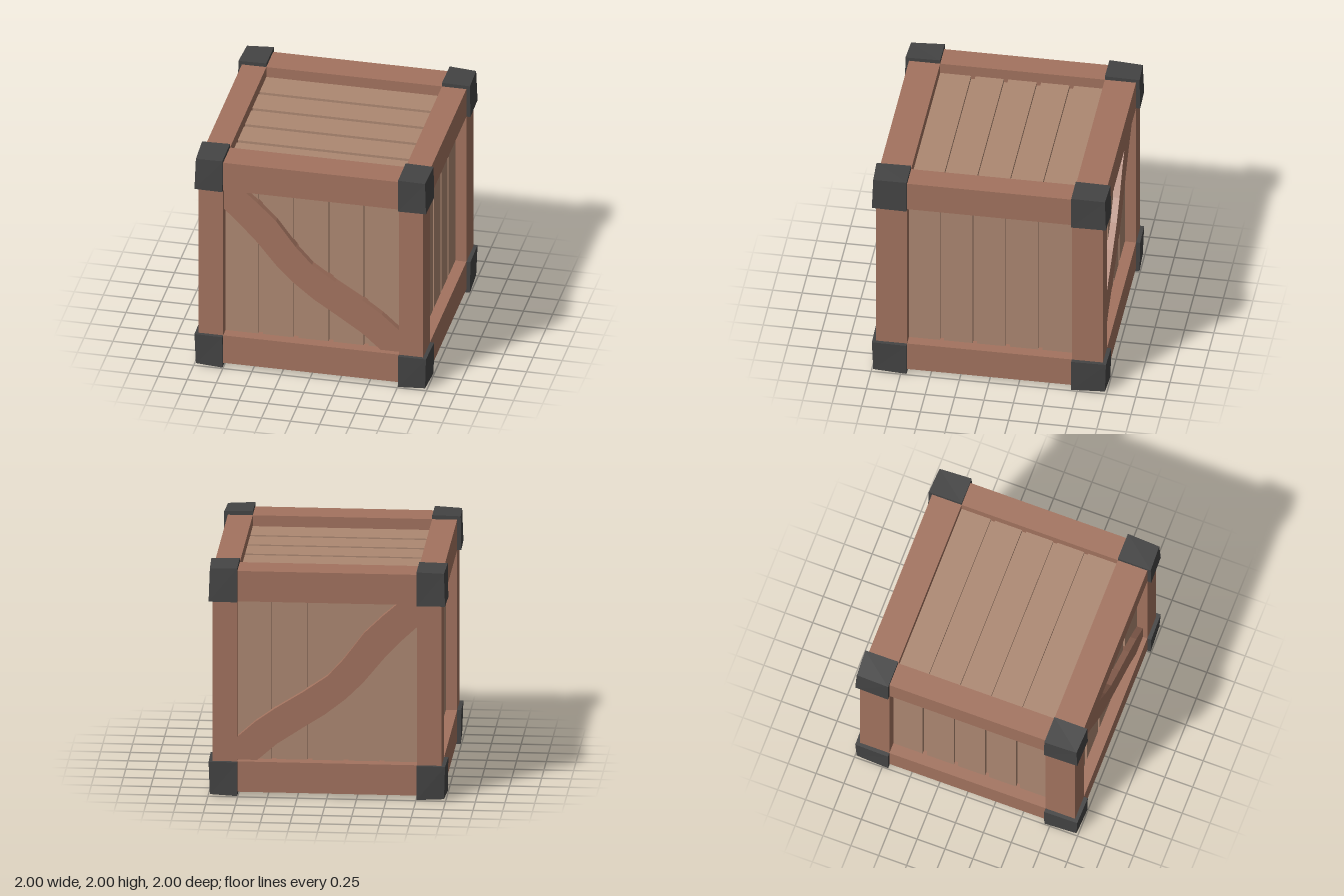
import * as THREE from 'three';

const IN = { x: 0.755, y: 0.7, z: 0.7 }; // inner edge of the frame per axis
const OUT = 0.965; // outer face of the beams
const BOARD = 0.87; // outer face of the boards
const CORE = 0.838; // bottom of the grooves between boards
const AXES = ['x', 'y', 'z'];

const mat = (color) => new THREE.MeshStandardMaterial({ color, flatShading: true });

export function createModel() {
  const root = new THREE.Group();
  root.name = 'crate';
  const crate = new THREE.Group();
  crate.name = 'crateBody';
  crate.position.y = 1;
  root.add(crate);

  const beamMat = mat(0xa3735f);
  const boardMat = mat(0xad8872);
  const capMat = mat(0x444444);

  const add = (name, geometry, material) => {
    const mesh = new THREE.Mesh(geometry, material);
    mesh.name = name;
    crate.add(mesh);
    return mesh;
  };
  // box given by its size and centre, keyed by axis
  const box = (name, size, pos, material) => {
    const mesh = add(name, new THREE.BoxGeometry(size.x, size.y, size.z), material);
    mesh.position.set(pos.x, pos.y, pos.z);
    return mesh;
  };

  // solid core seen at the bottom of the grooves
  box('core', { x: 2 * CORE, y: 2 * CORE, z: 2 * CORE }, { x: 0, y: 0, z: 0 }, boardMat);

  // twelve frame beams, four along each axis
  for (const a of AXES) {
    const [b, c] = AXES.filter((k) => k !== a);
    for (const sb of [-1, 1]) for (const sc of [-1, 1]) {
      box('frameBeam',
        { [a]: 2 * IN[a], [b]: OUT - IN[b], [c]: OUT - IN[c] },
        { [a]: 0, [b]: sb * (OUT + IN[b]) / 2, [c]: sc * (OUT + IN[c]) / 2 }, beamMat);
    }
  }

  // boards on all six faces: normal axis, axis along the board, axis across
  const boards = (name, n, along, across, pitch, gap) => {
    for (const s of [-1, 1]) for (let i = -2; i <= 2; i++) {
      let lo = (i - 0.5) * pitch + gap / 2;
      let hi = (i + 0.5) * pitch - gap / 2;
      if (i === -2) lo = -IN[across] - 0.02;
      if (i === 2) hi = IN[across] + 0.02;
      box(name,
        { [n]: BOARD - CORE + 0.02, [along]: 2 * IN[along] + 0.04, [across]: hi - lo },
        { [n]: s * (BOARD + CORE - 0.02) / 2, [along]: 0, [across]: (lo + hi) / 2 }, boardMat);
    }
  };
  boards('frontBackBoard', 'z', 'y', 'x', 0.302, 0.042);
  boards('sideBoard', 'x', 'y', 'z', 0.279, 0.037);
  boards('topBottomBoard', 'y', 'x', 'z', 0.279, 0.037);

  // wavy diagonal brace on the front and the back
  const outline = [
    [-0.757, 0.7], [-0.757, 0.5], [-0.63, 0.38], [-0.475, 0.215], [-0.3, 0], [-0.16, -0.14],
    [0.015, -0.28], [0.2, -0.4], [0.425, -0.55], [0.59, -0.695], [0.757, -0.695],
    [0.757, -0.495], [0.6, -0.355], [0.43, -0.235], [0.2, -0.09], [0, 0.05],
    [-0.14, 0.205], [-0.31, 0.435], [-0.47, 0.59], [-0.595, 0.7],
  ].map(([x, y]) => new THREE.Vector2(x, y));
  const braceGeo = new THREE.ExtrudeGeometry(new THREE.Shape(outline), { depth: 0.07, bevelEnabled: false });
  add('frontBrace', braceGeo, beamMat).position.z = 0.855;
  add('backBrace', braceGeo, beamMat).position.z = -0.925;

  // eight corner caps, slightly pinched at the outermost corner
  for (const sx of [-1, 1]) for (const sy of [-1, 1]) for (const sz of [-1, 1]) {
    const s = { x: sx, y: sy, z: sz };
    const geo = new THREE.BoxGeometry(1, 1, 1);
    const p = geo.attributes.position;
    for (let i = 0; i < p.count; i++) {
      const v = new THREE.Vector3().fromBufferAttribute(p, i);
      const outer = AXES.filter((a) => v[a] * s[a] > 0);
      const reach = [1, 1, 0.995, 0.985][outer.length];
      for (const a of AXES) v[a] = s[a] * (outer.includes(a) ? reach : IN[a]);
      p.setXYZ(i, v.x, v.y, v.z);
    }
    geo.computeVertexNormals();
    add('cornerCap', geo, capMat);
  }
  return root;
}
